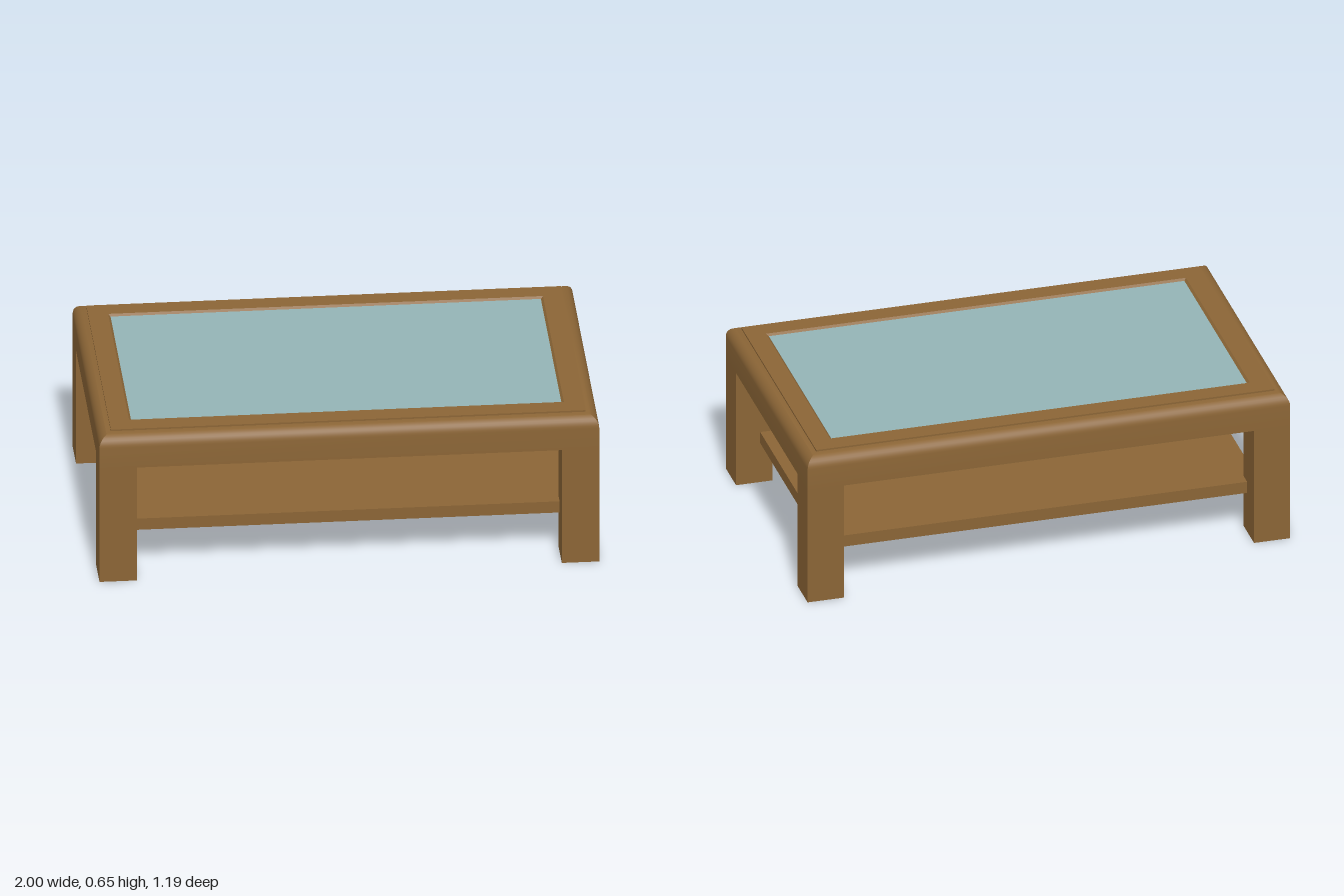
import * as THREE from 'three';
import { toCreasedNormals } from 'three/addons/utils/BufferGeometryUtils.js';

const HALF_X = 1, HALF_Z = 0.595, LEG = 0.15, APRON_Y = 0.505;

// Sweeps a closed profile of [inset, y] points round the table, with mitred corners
function mitredFrame(profile) {
  const corners = [[1, 1], [1, -1], [-1, -1], [-1, 1]];
  const pos = [], index = [], n = profile.length;
  for (const [sx, sz] of corners)
    for (const [d, y] of profile) pos.push(sx * (HALF_X - d), y, sz * (HALF_Z - d));
  for (let c = 0; c < 4; c++)
    for (let i = 0; i < n; i++) {
      const j = (i + 1) % n, e = ((c + 1) % 4) * n;
      const a = c * n + i, b = e + i, q = e + j, d = c * n + j;
      index.push(a, b, q, a, q, d);
    }
  const g = new THREE.BufferGeometry();
  g.setAttribute('position', new THREE.Float32BufferAttribute(pos, 3));
  g.setIndex(index);
  return toCreasedNormals(g, 0.5);
}

export function createModel() {
  const table = new THREE.Group();
  table.name = 'coffeeTable';
  const wood = new THREE.MeshStandardMaterial({ color: 0x8b6536 });
  const glass = new THREE.MeshStandardMaterial({ color: 0x94b4b6 });

  const add = (name, geometry, material, x = 0, y = 0, z = 0) => {
    const mesh = new THREE.Mesh(geometry, material);
    mesh.name = name;
    mesh.position.set(x, y, z);
    table.add(mesh);
  };

  // Top frame: apron, rounded shoulder, raised lip and rebate for the glass
  const r = 0.05, shoulder = 0.597;
  const profile = [[LEG, APRON_Y], [0, APRON_Y]];
  for (let i = 0; i <= 8; i++) {
    const t = (i / 8) * Math.PI / 2;
    profile.push([r - r * Math.cos(t), shoulder + r * Math.sin(t)]);
  }
  profile.push([r, 0.654], [0.13, 0.654], [0.139, 0.645], [0.139, 0.63], [LEG, 0.63]);
  add('topFrame', mitredFrame(profile), wood);

  // Glass panel resting in the rebate
  add('glassPanel', new THREE.BoxGeometry(2 * (HALF_X - 0.139), 0.015, 2 * (HALF_Z - 0.139)), glass, 0, 0.6385, 0);

  // Legs, flush with the outside of the apron
  for (const sx of [-1, 1])
    for (const sz of [-1, 1])
      add(`${sz > 0 ? 'front' : 'back'}${sx > 0 ? 'Left' : 'Right'}Leg`,
        new THREE.BoxGeometry(LEG, APRON_Y, LEG), wood,
        sx * (HALF_X - LEG / 2), APRON_Y / 2, sz * (HALF_Z - LEG / 2));

  // Lower shelf, its corners let into the legs
  add('shelf', new THREE.BoxGeometry(2 * (HALF_X - 0.1), 0.05, 2 * (HALF_Z - 0.1)), wood, 0, 0.2, 0);

  return table;
}
